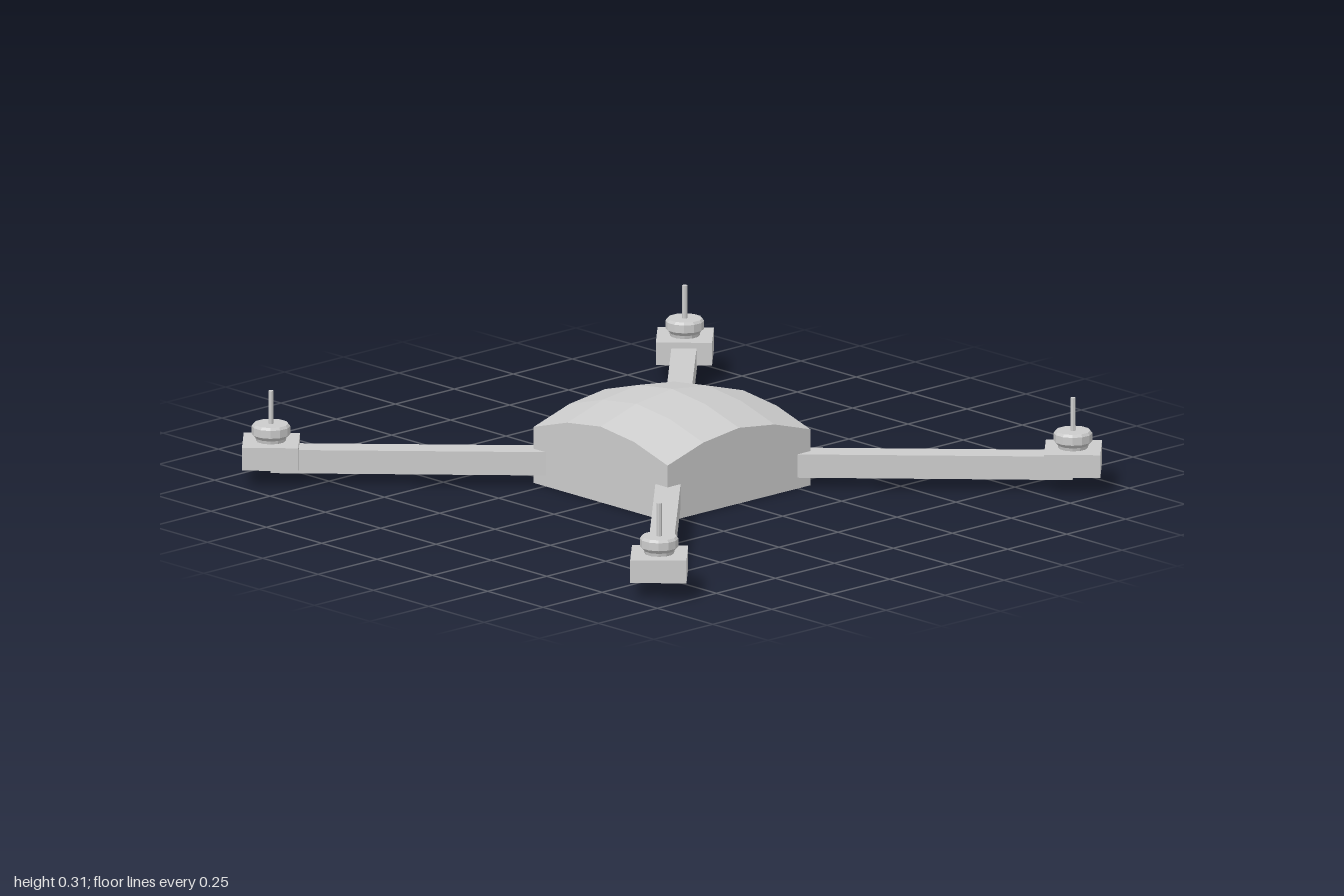
import * as THREE from 'three';

const material = new THREE.MeshStandardMaterial({ color: 0xcccccc, flatShading: true });
const smooth = new THREE.MeshStandardMaterial({ color: 0xcccccc, side: THREE.DoubleSide, flatShading: true });

function add(parent, name, geometry, x, y, z, mat = material) {
  const mesh = new THREE.Mesh(geometry, mat);
  mesh.name = name;
  mesh.position.set(x, y, z);
  parent.add(mesh);
  return mesh;
}

// Rise of the arched roof at a distance from the centre line
function arch(d) {
  const t = Math.abs(d) / 0.3;
  return t < 0.5 ? 0.063 - 0.036 * t : 0.09 * (1 - t);
}

// Square hull whose top bulges in both directions
function hullGeometry() {
  const geometry = new THREE.BoxGeometry(0.605, 0.18, 0.605, 4, 1, 4);
  geometry.translate(0, 0.09, 0);
  const p = geometry.attributes.position;
  for (let i = 0; i < p.count; i++) {
    if (p.getY(i) > 0.1) {
      const x = Math.min(0.3, Math.abs(p.getX(i)));
      const z = Math.min(0.3, Math.abs(p.getZ(i)));
      p.setY(i, 0.18 + arch(x) + arch(z));
    }
  }
  geometry.computeVertexNormals();
  return geometry;
}

export function createModel() {
  const model = new THREE.Group();
  add(model, 'body', hullGeometry(), 0, 0, 0);

  const reach = 0.877 * Math.SQRT2; // centre to motor axis along the diagonal
  const inner = 0.36;
  const armGeometry = new THREE.BoxGeometry(reach - inner, 0.075, 0.078);
  const mountGeometry = new THREE.BoxGeometry(0.174, 0.073, 0.174);
  const shaftGeometry = new THREE.CylinderGeometry(0.008, 0.008, 0.11, 8);

  // Motor: tapered base below a wide bell
  const motorGeometry = new THREE.LatheGeometry([
    [0, 0], [0.046, 0], [0.048, 0.01], [0.06, 0.022],
    [0.06, 0.047], [0.054, 0.055], [0, 0.055],
  ].map(([r, y]) => new THREE.Vector2(r, y)), 12);

  // Four identical arms on the diagonals
  for (let i = 0; i < 4; i++) {
    const arm = new THREE.Group();
    arm.name = ['frontLeft', 'backLeft', 'backRight', 'frontRight'][i] + 'Arm';
    arm.rotation.y = -Math.PI / 4 + i * Math.PI / 2;
    add(arm, 'beam', armGeometry, (reach + inner) / 2, 0.0725, 0);
    add(arm, 'motorMount', mountGeometry, reach, 0.0925, 0);
    add(arm, 'motor', motorGeometry, reach, 0.129, 0, smooth);
    add(arm, 'shaft', shaftGeometry, reach, 0.234, 0);
    model.add(arm);
  }
  return model;
}
